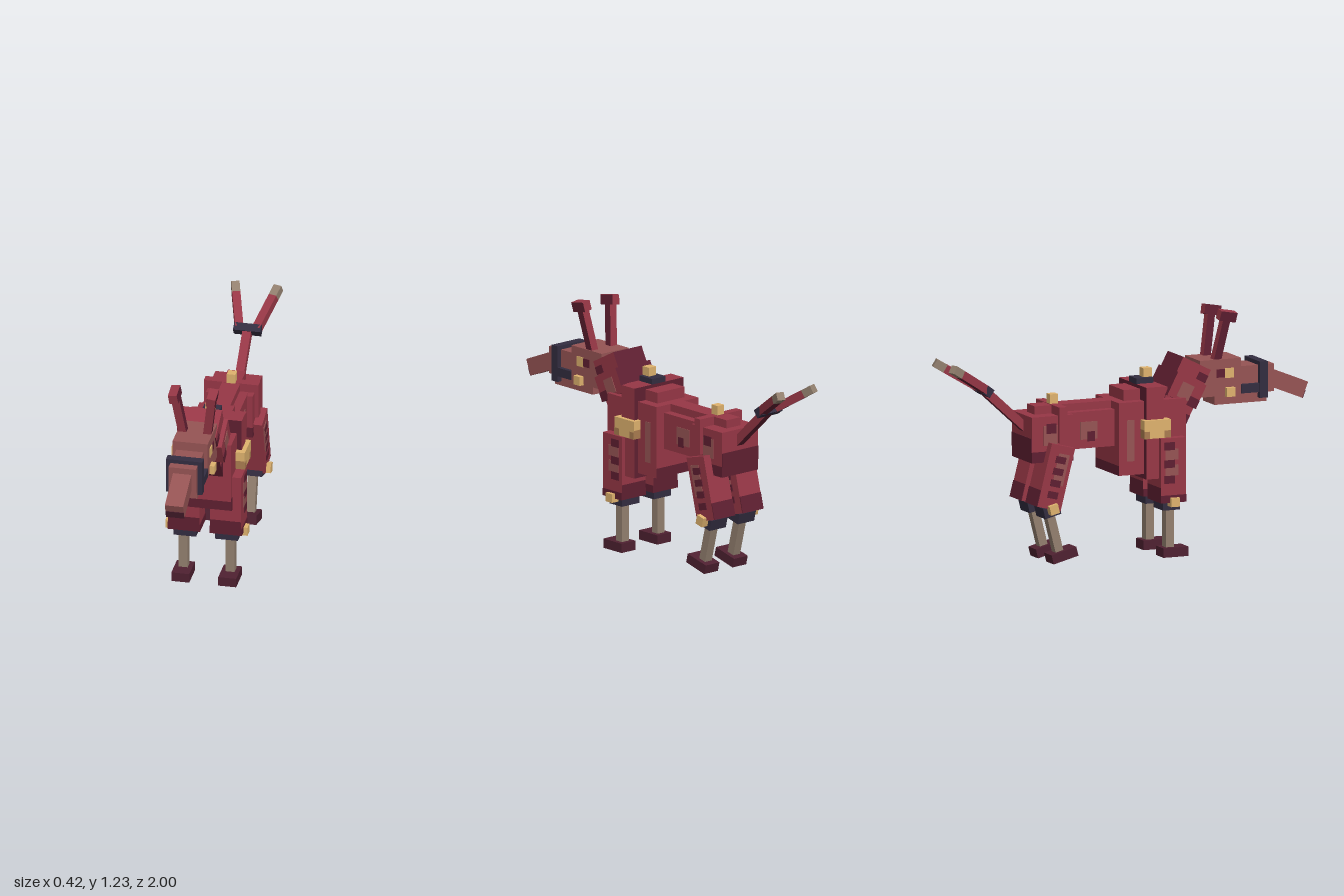
import * as THREE from 'three';

const mat = (name, color) => {
  const m = new THREE.MeshStandardMaterial({ color });
  m.name = name;
  return m;
};

export function createModel() {
  const model = new THREE.Group();
  model.name = 'creature';
  const red = mat('red hide', 0x973746), dark = mat('dark red hide', 0x5f1f31);
  const brown = mat('rosy brown hide', 0x965454), navy = mat('dark navy', 0x332d40);
  const tan = mat('tan bone', 0x93806f), gold = mat('gold', 0xdfb26e);
  const bronze = mat('bronze', 0xaa7c50), hoof = mat('dark hoof', 0x4f2131);
  // Face colours in the order left, right, top, bottom, front, back
  const faces = (sides, top, bottom, front, back) => [sides, sides, top, bottom, front, back];
  const soled = faces(hoof, hoof, navy, hoof, hoof);
  const tailHide = faces(red, red, dark, red, red);

  // Box from its x, y and z ranges
  const box = (name, m, [x0, x1], [y0, y1], [z0, z1], parent = model) => {
    const mesh = new THREE.Mesh(new THREE.BoxGeometry(x1 - x0, y1 - y0, z1 - z0), m);
    mesh.position.set((x0 + x1) / 2, (y0 + y1) / 2, (z0 + z1) / 2);
    mesh.name = name;
    parent.add(mesh);
  };
  const mid = (name, m, w, y, z, parent) => box(name, m, [-w, w], y, z, parent);
  // Same box on both sides, given for the left side
  const pair = (name, m, [x0, x1], y, z, parent) => {
    box(name, m, [x0, x1], y, z, parent);
    box(name, m, [-x1, -x0], y, z, parent);
  };
  // Thin painted plates on both sides
  const spot = (m, x, y, z, parent) => pair('hideSpot', m, [x - 0.002, x + 0.003], y, z, parent);
  // Group tilted around the x axis
  const tilt = (name, x, y, z, a, b = 0) => {
    const g = new THREE.Group();
    g.name = name;
    g.position.set(x, y, z);
    g.rotation.set(a, 0, b);
    model.add(g);
    return g;
  };
  // Square bar between two points
  const bar = (name, m, a, b, w, h) => {
    const p = new THREE.Vector3(...a), q = new THREE.Vector3(...b);
    const mesh = new THREE.Mesh(new THREE.BoxGeometry(w, h, p.distanceTo(q)), m);
    mesh.position.copy(p).lerp(q, 0.5);
    mesh.lookAt(q);
    mesh.name = name;
    model.add(mesh);
  };

  // Shoulders, harness and back
  mid('chest', red, 0.14, [0.48, 0.8], [-0.085, 0.285]);
  mid('chestUnderside', faces(red, red, dark, dark, dark), 0.14, [0.43, 0.48], [-0.085, 0.285]);
  mid('withers', red, 0.09, [0.78, 0.855], [-0.035, 0.205]);
  mid('girth', faces(red, red, navy, dark, dark), 0.165, [0.405, 0.872], [0.055, 0.15]);
  mid('saddlePad', navy, 0.045, [0.87, 0.9], [0.055, 0.15]);
  mid('saddleStud', gold, 0.024, [0.9, 0.945], [0.103, 0.15]);
  pair('shoulderPlate', gold, [0.13, 0.187], [0.66, 0.708], [0.035, 0.18]);
  pair('shoulderPlateBase', faces(gold, gold, bronze, bronze, bronze), [0.13, 0.187], [0.615, 0.66], [0.035, 0.18]);
  for (const z of [[0.145, 0.18], [0.035, 0.065]]) spot(bronze, 0.186, [0.615, 0.652], z);
  mid('torso', red, 0.09, [0.575, 0.762], [-0.36, -0.08]);
  mid('spine', red, 0.046, [0.75, 0.8], [-0.505, -0.03]);
  mid('rump', red, 0.12, [0.58, 0.758], [-0.555, -0.325]);
  mid('rumpUnderside', dark, 0.12, [0.525, 0.58], [-0.555, -0.325]);
  mid('rumpBackPatch', dark, 0.12, [0.58, 0.65], [-0.558, -0.554]);
  mid('rumpStrap', red, 0.14, [0.62, 0.802], [-0.412, -0.368]);
  mid('rumpStud', gold, 0.022, [0.8, 0.85], [-0.41, -0.365]);

  // Hide spots
  spot(brown, 0.14, [0.5, 0.71], [-0.04, 0]);
  spot(dark, 0.14, [0.43, 0.5], [0.24, 0.285]);
  spot(brown, 0.09, [0.62, 0.71], [-0.275, -0.18]);
  spot(dark, 0.092, [0.61, 0.66], [-0.235, -0.195]);
  spot(brown, 0.12, [0.61, 0.71], [-0.49, -0.415]);
  spot(dark, 0.122, [0.67, 0.72], [-0.475, -0.42]);

  // Neck with a wider collar around its middle
  const neck = tilt('neck', 0, 0.765, 0.265, 0.48);
  mid('neckBar', faces(red, red, dark, dark, dark), 0.095, [-0.165, 0.222], [-0.085, 0.085], neck);
  mid('neckCollar', faces(red, red, dark, red, dark), 0.117, [0.012, 0.142], [-0.088, 0.088], neck);
  spot(brown, 0.117, [0.03, 0.11], [-0.04, 0.03], neck);
  spot(dark, 0.117, [0.012, 0.06], [0.03, 0.088], neck);
  spot(dark, 0.095, [-0.165, -0.03], [0.02, 0.085], neck);
  spot(dark, 0.095, [0.15, 0.19], [0.03, 0.085], neck);

  // Head
  mid('head', brown, 0.09, [0.785, 0.972], [0.385, 0.612]);
  mid('muzzle', brown, 0.07, [0.785, 0.925], [0.6, 0.803]);
  mid('jaw', brown, 0.068, [0.738, 0.79], [0.475, 0.76]);
  mid('muzzleBand', navy, 0.093, [0.76, 0.945], [0.713, 0.757]);
  pair('bridleStrap', navy, [0.065, 0.092], [0.79, 0.835], [0.612, 0.715]);
  pair('bridleStud', gold, [0.08, 0.115], [0.782, 0.828], [0.522, 0.57]);
  pair('eye', gold, [0.088, 0.094], [0.875, 0.925], [0.522, 0.57]);
  pair('eyeShade', dark, [0.088, 0.094], [0.88, 0.922], [0.475, 0.522]);
  const snout = tilt('snout', 0, 0.819, 0.873, 0.385);
  mid('snoutBar', brown, 0.047, [-0.043, 0.043], [-0.12, 0.12], snout);
  mid('nose', hoof, 0.047, [-0.043, 0], [0.12, 0.123], snout);

  for (const s of [-1, 1]) {
    // Horns
    const horn = tilt('horn', s * 0.062, 0.96, 0.483, 0.18, -s * 0.14);
    mid('hornStem', faces(dark, red, dark, red, red), 0.021, [0, 0.23], [-0.02, 0.02], horn);
    mid('hornTip', faces(dark, red, dark, red, red), 0.023, [0.215, 0.265], [-0.04, 0.05], horn);

    // Front legs
    const leg = tilt('frontLeg', s * 0.107, 0, 0.195, 0);
    mid('thigh', red, 0.08, [0.36, 0.61], [-0.07, 0.07], leg);
    mid('thighBase', faces(red, red, dark, dark, dark), 0.08, [0.282, 0.36], [-0.07, 0.07], leg);
    spot(dark, 0.08, [0.282, 0.32], [-0.07, 0.07], leg);
    mid('cuff', navy, 0.058, [0.24, 0.285], [-0.047, 0.047], leg);
    for (const y of [0.38, 0.46, 0.55]) spot(dark, 0.081, [y, y + 0.04], [-0.05, 0.005], leg);
    for (const y of [0.42, 0.5]) spot(brown, 0.08, [y, y + 0.055], [-0.045, 0.025], leg);
    box('kneeStud', gold, s > 0 ? [0.055, 0.103] : [-0.103, -0.055], [0.263, 0.308], [-0.022, 0.026], leg);
    box('shin', tan, [s * 0.013 - 0.023, s * 0.013 + 0.023], [0.04, 0.25], [-0.022, 0.022], leg);
    box('foot', soled, [s * 0.013 - 0.046, s * 0.013 + 0.046], [0, 0.048], [-0.045, 0.092], leg);

    // Hind legs
    const hind = tilt('hindLeg', s * 0.095, 0.455, -0.44, 0.25);
    mid('hindThigh', faces(red, red, dark, red, red), 0.07, [-0.165, 0.16], [-0.066, 0.066], hind);
    for (const y of [-0.11, -0.05, 0.01, 0.07]) spot(dark, 0.071, [y, y + 0.035], [-0.025, 0.03], hind);
    spot(brown, 0.07, [-0.04, 0.12], [-0.015, 0.045], hind);
    mid('hindThighBackPatch', dark, 0.07, [-0.165, -0.08], [-0.069, -0.065], hind);
    const shank = tilt('hindShank', s * 0.095, 0.28, -0.456, -0.25);
    mid('hindCuff', navy, 0.055, [-0.028, 0.028], [-0.045, 0.045], shank);
    box('hockStud', gold, s > 0 ? [0.045, 0.093] : [-0.093, -0.045], [-0.01, 0.038], [-0.024, 0.024], shank);
    mid('hindShin', tan, 0.023, [-0.23, 0], [-0.022, 0.022], shank);
    mid('hindFoot', soled, 0.046, [-0.268, -0.22], [-0.055, 0.085], shank);

    // Tail forks
    bar('tailFork', tailHide, [s * 0.045, 0.9, -0.77], [s * 0.096, 1.003, -0.935], 0.042, 0.042);
    bar('tailTip', tan, [s * 0.096, 1.003, -0.935], [s * 0.111, 1.034, -0.985], 0.042, 0.042);
  }

  // Tail
  bar('tail', tailHide, [0, 0.68, -0.53], [0, 0.895, -0.765], 0.044, 0.044);
  bar('tailJoint', navy, [0, 0.885, -0.75], [0, 0.91, -0.785], 0.14, 0.046);
  return model;
}
